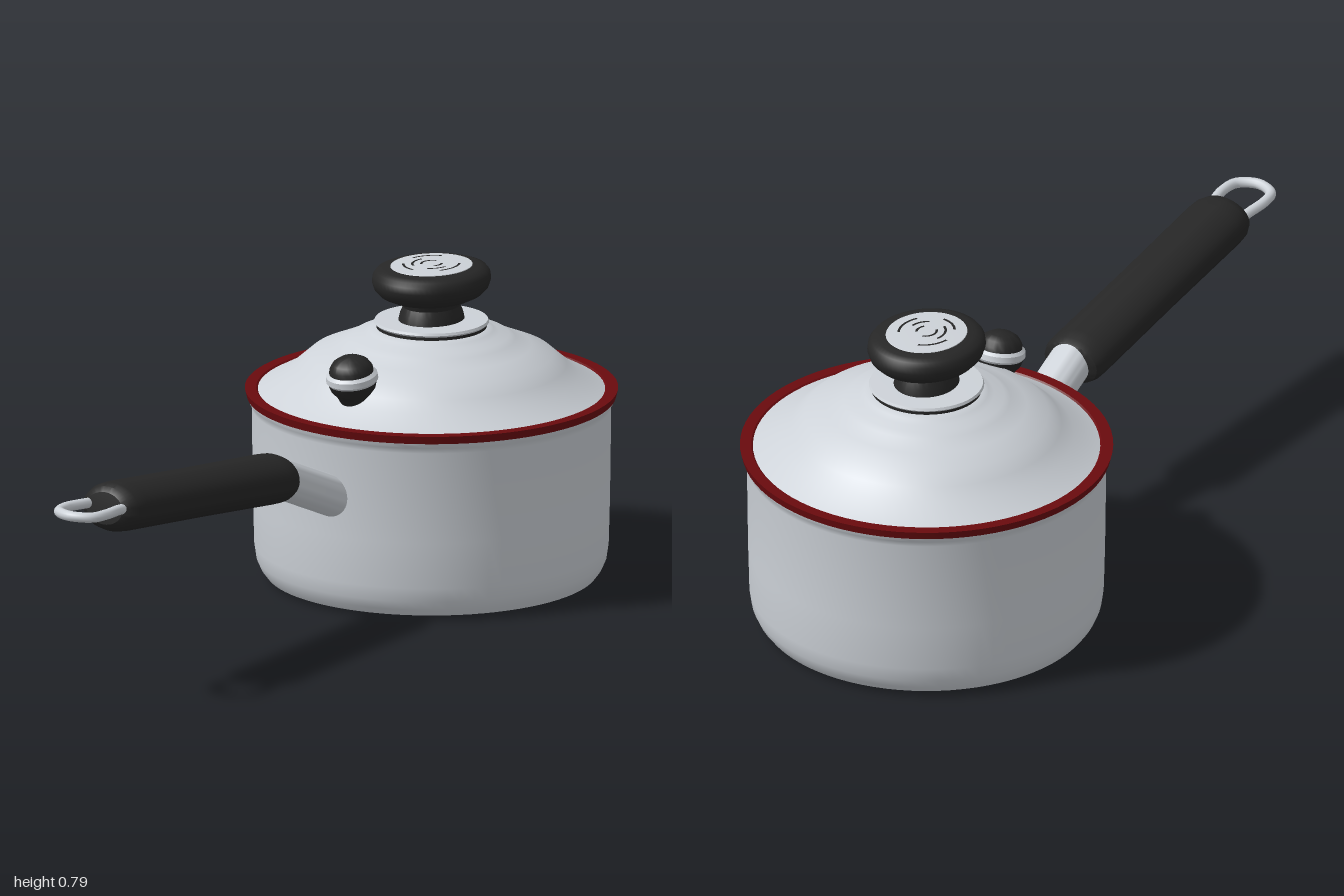
import * as THREE from 'three';
import { toCreasedNormals } from 'three/addons/utils/BufferGeometryUtils.js';

const paint = (name, color) => {
  const m = new THREE.MeshStandardMaterial({ color });
  m.name = name;
  return m;
};

export function createModel() {
  const steel = paint('brushed steel', 0xcdd2d8);
  const black = paint('black plastic', 0x262626);
  const red = paint('dark red enamel', 0x6a0a0e);

  const model = new THREE.Group();
  model.name = 'saucepan';

  const add = (parent, name, geometry, material) => {
    const mesh = new THREE.Mesh(geometry, material);
    mesh.name = name;
    parent.add(mesh);
    return mesh;
  };
  // Turned part: [radius, height] pairs, listed from bottom to top
  const turned = (parent, name, profile, material, segments = 64) => {
    const points = profile.map(([r, y]) => new THREE.Vector2(r, y));
    const geometry = toCreasedNormals(new THREE.LatheGeometry(points, segments), 0.6);
    return add(parent, name, geometry, material);
  };
  // Points a part's own y axis from a towards b, in the xy plane
  const aim = (mesh, a, b) => {
    mesh.position.set(a[0], a[1], 0);
    mesh.rotation.z = Math.atan2(a[0] - b[0], b[1] - a[1]);
    return mesh;
  };

  // Pot and lid share one axis
  const pan = new THREE.Group();
  pan.name = 'pan';
  pan.position.x = 0.54;
  model.add(pan);

  turned(pan, 'pot', [
    [0, 0], [0.31, 0], [0.405, 0.01], [0.418, 0.027], [0.428, 0.05], [0.433, 0.085],
    [0.436, 0.2], [0.439, 0.43], [0.441, 0.443], [0.448, 0.451], [0.449, 0.458], [0.42, 0.458],
  ], steel, 80);
  turned(pan, 'rim', [
    [0.425, 0.457], [0.451, 0.457], [0.456, 0.477], [0.428, 0.477], [0.42, 0.47],
  ], red, 80);
  turned(pan, 'lid', [
    [0.435, 0.468], [0.418, 0.477], [0.36, 0.508], [0.33, 0.534], [0.298, 0.562], [0.245, 0.584],
    [0.205, 0.602], [0.19, 0.612], [0.165, 0.617], [0.152, 0.625], [0.137, 0.631], [0, 0.632],
  ], steel, 80);
  turned(pan, 'knobGasket', [[0, 0.63], [0.135, 0.63], [0.135, 0.641], [0, 0.641]], black);
  turned(pan, 'knobPlate', [
    [0, 0.639], [0.136, 0.639], [0.141, 0.644], [0.138, 0.65], [0, 0.653],
  ], steel);

  // Slightly oval lid knob with a decorated cap
  const knob = new THREE.Group();
  knob.name = 'lidKnob';
  knob.scale.x = 1.12;
  pan.add(knob);
  turned(knob, 'knobBody', [
    [0, 0.65], [0.078, 0.65], [0.074, 0.668], [0.067, 0.685], [0.071, 0.698], [0.098, 0.705],
    [0.12, 0.716], [0.134, 0.731], [0.14, 0.75], [0.138, 0.766], [0.13, 0.777],
    [0.115, 0.783], [0.095, 0.786], [0, 0.786],
  ], black);
  turned(knob, 'knobCap', [[0.098, 0.783], [0.096, 0.787], [0.06, 0.789], [0, 0.789]], steel, 48);

  // Engraved arcs on the cap: radius, start angle, sweep
  [[0.066, 0.3, 1.1], [0.066, 2.2, 0.9], [0.066, 4.1, 1.2], [0.045, 1.2, 1.4],
    [0.045, 3.6, 1.0], [0.024, 0.2, 2.2], [0.024, 4.0, 1.3]].forEach(([r, start, sweep]) => {
    const arc = new THREE.RingGeometry(r - 0.003, r + 0.003, 16, 1, start, sweep);
    add(knob, 'capEngraving', arc.rotateX(-Math.PI / 2).translate(0, 0.7905, 0), black);
  });

  // Steam vent, leaning out from the lid
  const vent = aim(new THREE.Group(), [0.215, 0.515], [0.195, 0.63]);
  vent.name = 'steamVent';
  model.add(vent);
  turned(vent, 'ventBase', [
    [0, 0], [0.034, 0], [0.042, 0.018], [0.055, 0.035], [0.06, 0.052], [0, 0.054],
  ], black, 32);
  turned(vent, 'ventBand', [
    [0, 0.051], [0.059, 0.051], [0.064, 0.058], [0.063, 0.072], [0.056, 0.079], [0, 0.08],
  ], steel, 32);
  turned(vent, 'ventCap', [
    [0.055, 0.078], [0.053, 0.09], [0.044, 0.104], [0.028, 0.114], [0, 0.118],
  ], black, 32);

  // Handle: metal neck, oval grip and wire hanging loop
  const neckStart = [0.13, 0.291], gripStart = [-0.115, 0.397], gripEnd = [-0.845, 0.484];
  const neckLength = Math.hypot(0.285, 0.12);
  const neck = turned(model, 'handleNeck', [
    [0, 0], [0.05, 0], [0.05, neckLength], [0, neckLength],
  ], steel, 40);
  aim(neck, neckStart, gripStart).scale.z = 1.1;

  const gripLength = Math.hypot(gripEnd[0] - gripStart[0], gripEnd[1] - gripStart[1]);
  const grip = turned(model, 'handleGrip', [
    [0, 0], [0.045, 0.001], [0.056, 0.008], [0.061, 0.025], [0.062, 0.06], [0.061, gripLength / 2],
    [0.062, gripLength - 0.07], [0.06, gripLength - 0.035], [0.053, gripLength - 0.013],
    [0.04, gripLength - 0.002], [0, gripLength],
  ], black, 40);
  aim(grip, gripStart, gripEnd).scale.z = 1.34;

  const loop = new THREE.CatmullRomCurve3([
    [-0.8, 0.485, 0.045], [-0.86, 0.491, 0.052], [-0.92, 0.495, 0.059], [-0.965, 0.496, 0.049],
    [-0.987, 0.497, 0], [-0.965, 0.496, -0.049], [-0.92, 0.495, -0.059],
    [-0.86, 0.491, -0.052], [-0.8, 0.485, -0.045],
  ].map((p) => new THREE.Vector3(...p)));
  add(model, 'hangingLoop', new THREE.TubeGeometry(loop, 56, 0.013, 12), steel);

  return model;
}
